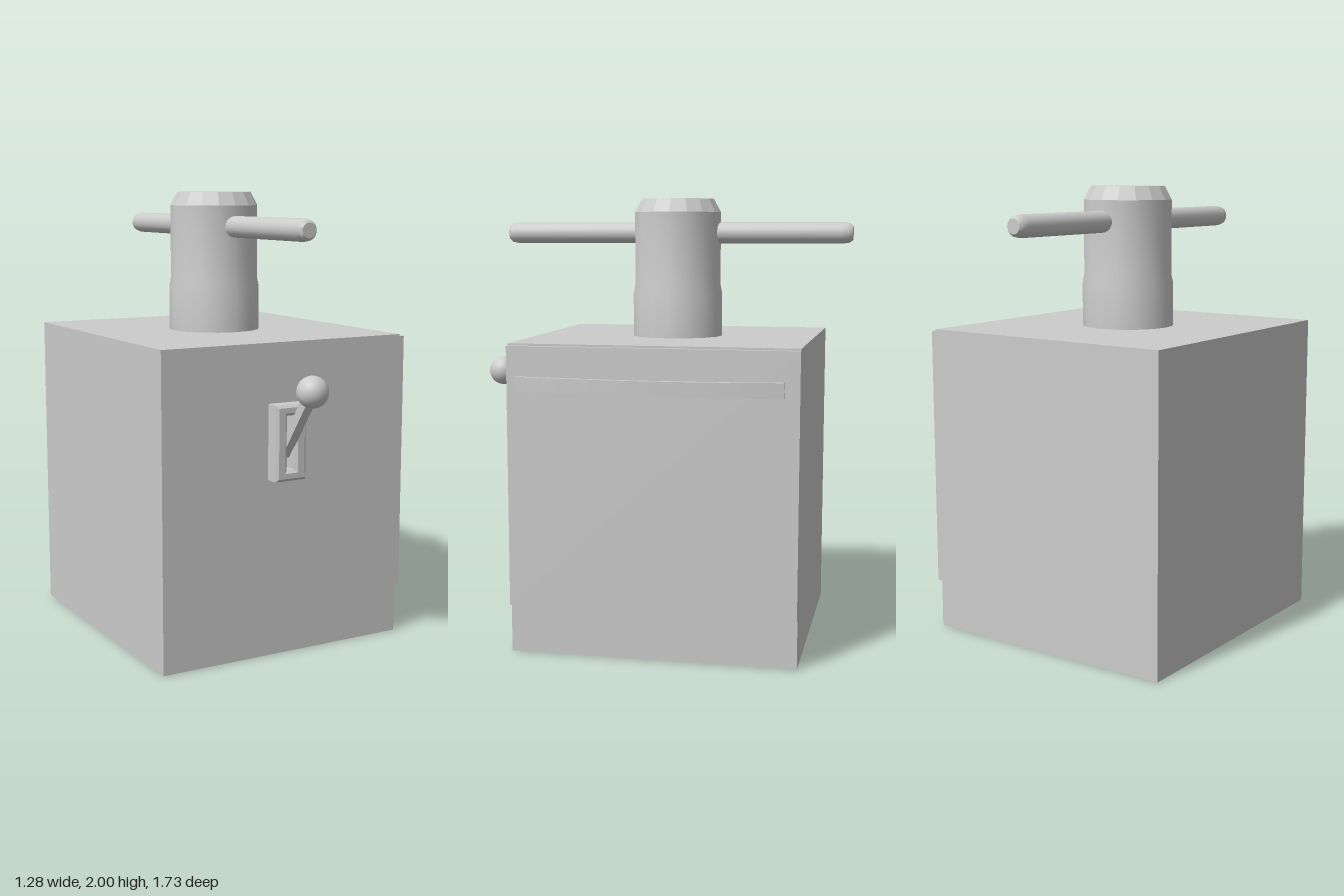
import * as THREE from 'three';
import { toCreasedNormals } from 'three/addons/utils/BufferGeometryUtils.js';

const grey = new THREE.MeshStandardMaterial({ color: 0xcccccc });

export function createModel() {
  const model = new THREE.Group();

  const add = (name, geometry, x = 0, y = 0, z = 0) => {
    const mesh = new THREE.Mesh(geometry, grey);
    mesh.name = name;
    mesh.position.set(x, y, z);
    model.add(mesh);
    return mesh;
  };
  // Box given by its low and high corners
  const box = (name, a, b) => add(
    name,
    new THREE.BoxGeometry(b[0] - a[0], b[1] - a[1], b[2] - a[2]),
    (a[0] + b[0]) / 2, (a[1] + b[1]) / 2, (a[2] + b[2]) / 2
  );
  // Turned part with sharp edges along its profile
  const turned = (profile, sides) => toCreasedNormals(
    new THREE.LatheGeometry(profile.map(([r, y]) => new THREE.Vector2(r, y)), sides), 0.5
  );
  const rect = (PathType, x0, y0, x1, y1) => new PathType()
    .moveTo(x0, y0) && new PathType([
    new THREE.Vector2(x0, y0), new THREE.Vector2(x1, y0),
    new THREE.Vector2(x1, y1), new THREE.Vector2(x0, y1)
  ]);

  // Cabinet and the door panel on its left side
  box('cabinet', [-0.642, 0, -0.695], [0.545, 1.375, 0.575]);
  box('door', [0.54, 0.215, -0.695], [0.568, 1.366, 0.575]);

  // Bowed door handle: a thin crescent strip, extruded upwards
  const bow = [];
  const steps = 14, zBack = -0.63, zFront = 0.535;
  const bulge = t => 1 - (2 * t - 1) ** 2;
  for (let i = 0; i <= steps; i++) {
    const t = i / steps;
    bow.push(new THREE.Vector2(0.585 + 0.053 * bulge(t), -(zBack + (zFront - zBack) * t)));
  }
  for (let i = steps; i >= 0; i--) {
    const t = i / steps;
    bow.push(new THREE.Vector2(0.566 + 0.046 * bulge(t), -(zBack + (zFront - zBack) * t)));
  }
  const handle = new THREE.ExtrudeGeometry(new THREE.Shape(bow), { depth: 0.065, bevelEnabled: false });
  handle.rotateX(-Math.PI / 2);
  add('doorHandle', toCreasedNormals(handle, 0.5), 0, 1.17, 0);

  // Column with a wider foot and a chamfered top
  add('column', turned([
    [0, 1.37], [0.208, 1.37], [0.208, 1.57], [0.2, 1.61], [0.2, 1.94]
  ], 16), -0.05, 0, -0.058);
  const cap = new THREE.CylinderGeometry(0.168, 0.2, 0.06, 16).toNonIndexed();
  cap.computeVertexNormals();
  add('columnCap', cap, -0.05, 1.97, -0.058);

  // Crossbar through the column
  const bar = turned([
    [0, -0.86], [0.032, -0.86], [0.043, -0.845], [0.048, -0.815],
    [0.048, 0.705], [0.043, 0.735], [0.032, 0.747], [0, 0.747]
  ], 20);
  bar.rotateX(Math.PI / 2);
  add('crossbar', bar, -0.05, 1.846, 0);

  // Slotted lever plate with a bevelled front
  const bevel = 0.012;
  const plate = rect(THREE.Shape, -0.136 + bevel, 0.785 + bevel, 0.015 - bevel, 1.115 - bevel);
  plate.holes.push(rect(THREE.Path, -0.092, 0.82, -0.03, 1.08));
  add('leverPlate', new THREE.ExtrudeGeometry(plate, {
    depth: 0.058, bevelThickness: bevel, bevelSize: bevel, bevelSegments: 1
  }), 0, 0, 0.575);

  // Lever arm and its ball knob
  const foot = new THREE.Vector3(-0.059, 0.89, 0.575);
  const knob = new THREE.Vector3(-0.059, 1.19, 0.797);
  const arm = add('leverArm', new THREE.BoxGeometry(0.042, 0.042, foot.distanceTo(knob)));
  arm.position.addVectors(foot, knob).multiplyScalar(0.5);
  arm.lookAt(knob);
  add('leverKnob', new THREE.SphereGeometry(0.068, 32, 20), knob.x, knob.y, knob.z);

  return model;
}
